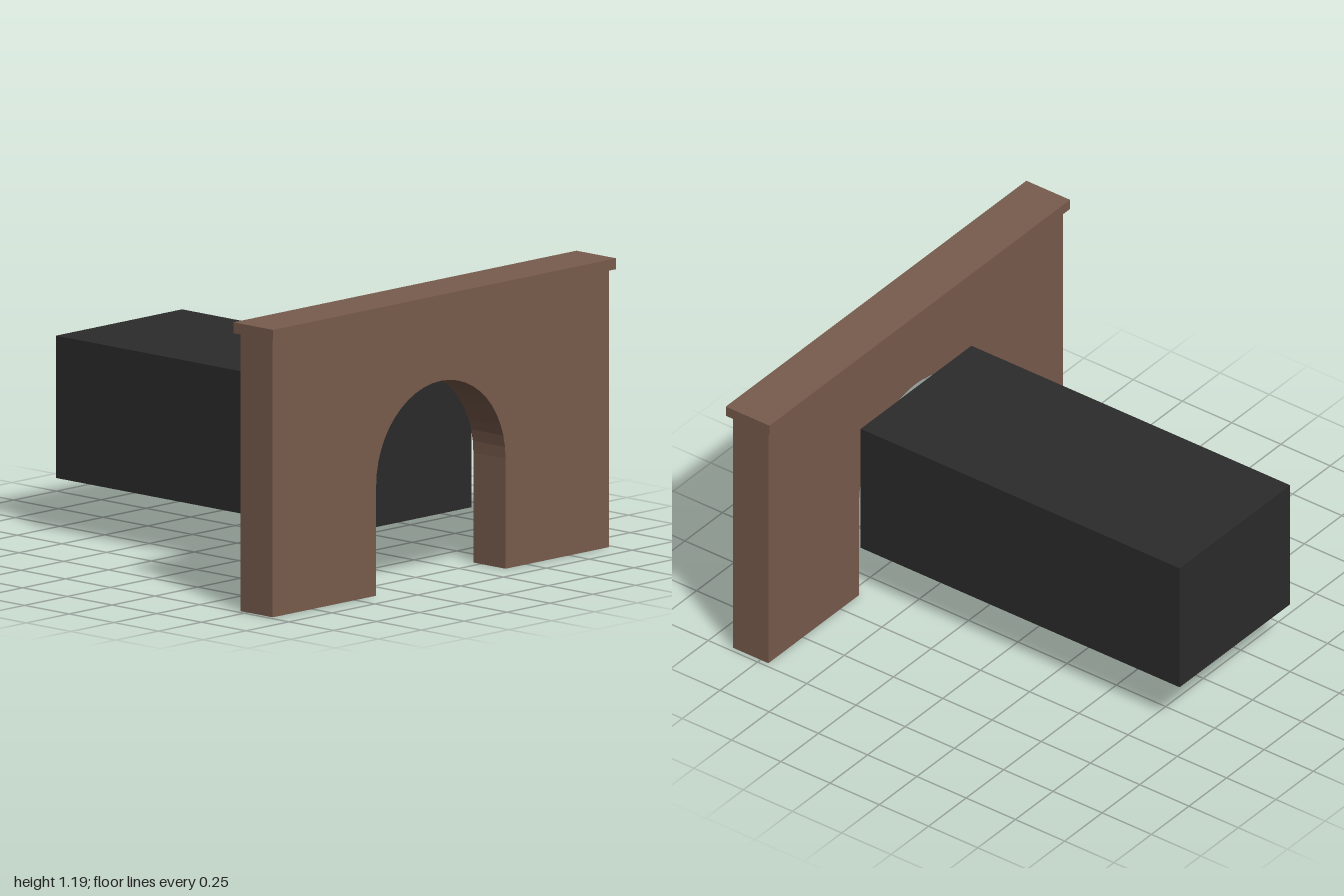
import * as THREE from 'three';

// Drops the triangles lying on the lowest plane, leaving a hollow shell
function openBottom(geometry) {
  const geo = geometry.index ? geometry.toNonIndexed() : geometry;
  geo.computeBoundingBox();
  const floor = geo.boundingBox.min.y + 1e-4;
  const p = geo.attributes.position;
  const kept = [];
  for (let i = 0; i < p.count; i += 3) {
    const flat = [0, 1, 2].every((k) => p.getY(i + k) < floor);
    if (!flat) kept.push(p.getX(i), p.getY(i), p.getZ(i), p.getX(i + 1), p.getY(i + 1), p.getZ(i + 1),
      p.getX(i + 2), p.getY(i + 2), p.getZ(i + 2));
  }
  const shell = new THREE.BufferGeometry();
  shell.setAttribute('position', new THREE.Float32BufferAttribute(kept, 3));
  shell.computeVertexNormals();
  return shell;
}

export function createModel() {
  const model = new THREE.Group();
  model.name = 'tunnelPortal';

  const brown = new THREE.MeshStandardMaterial({ color: 0x795c4d, side: THREE.DoubleSide });
  brown.name = 'brownStone';
  const dark = new THREE.MeshStandardMaterial({ color: 0x2b2b2b, side: THREE.DoubleSide });
  dark.name = 'darkTunnel';

  const add = (name, geometry, material, x, y) => {
    const mesh = new THREE.Mesh(geometry, material);
    mesh.name = name;
    mesh.position.set(x, y, 0);
    model.add(mesh);
  };

  // Portal wall with a round-arched opening, 0.18 thick
  const halfWidth = 0.98, height = 1.145, radius = 0.377, spring = 0.453, depth = 0.18;
  const wall = new THREE.Shape();
  wall.moveTo(-halfWidth, 0);
  wall.lineTo(-radius, 0);
  wall.lineTo(-radius, spring);
  wall.absarc(0, spring, radius, Math.PI, 0, true);
  wall.lineTo(radius, 0);
  wall.lineTo(halfWidth, 0);
  wall.lineTo(halfWidth, height);
  wall.lineTo(-halfWidth, height);
  wall.closePath();
  const wallGeo = new THREE.ExtrudeGeometry(wall, { depth, bevelEnabled: false, curveSegments: 12 });
  wallGeo.translate(0, 0, -depth / 2).rotateY(Math.PI / 2);
  add('portalWall', openBottom(wallGeo), brown, 0.8, 0);

  // Coping slab overhanging the wall
  add('copingSlab', new THREE.BoxGeometry(0.222, 0.045, 2), brown, 0.8, 1.1675);

  // Dark tunnel body behind the arch
  const start = -0.911, end = 0.708;
  add('tunnelBody', openBottom(new THREE.BoxGeometry(end - start, 0.586, 0.736)), dark, (start + end) / 2, 0.522);

  return model;
}
